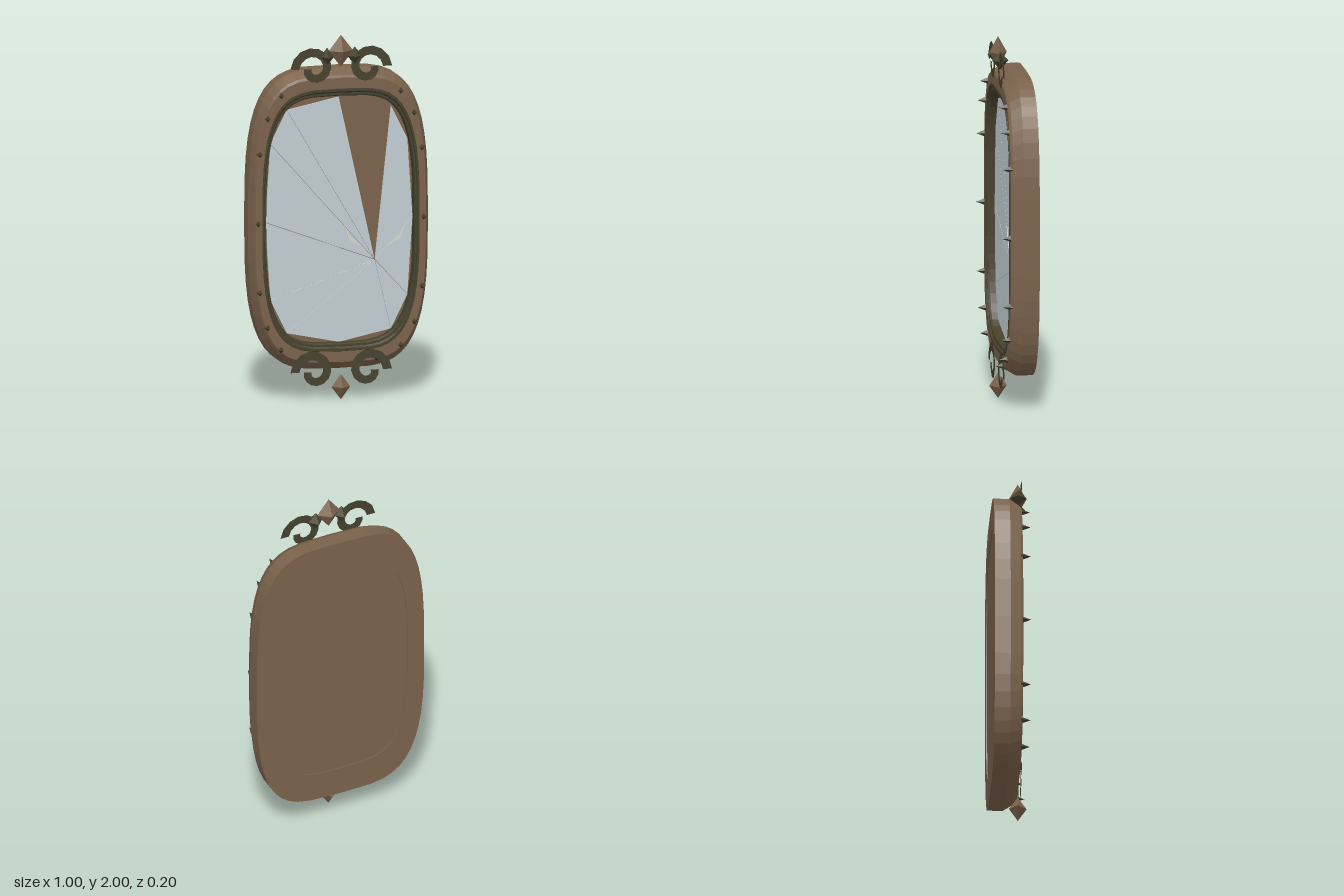
import * as THREE from 'three';

const material = (name, color, side = THREE.FrontSide) => {
  const m = new THREE.MeshStandardMaterial({ color, side, flatShading: true });
  m.name = name;
  return m;
};

const CY = 0.985; // height of the frame's centre

// Point on a rounded-rectangle oval with half sizes a and b
function ovalPoint(t, a, b) {
  const c = Math.cos(t), s = Math.sin(t);
  const pow = (v, p) => (Math.abs(v) < 1e-6 ? 0 : Math.sign(v) * Math.abs(v) ** p);
  return [a * pow(c, 0.5), b * pow(s, 0.65)];
}

// Sweep a [scale, z] profile round the oval
function ovalLoft(profile, n = 48) {
  const pos = [], idx = [];
  profile.forEach(([k, z]) => {
    for (let j = 0; j < n; j++) {
      const [x, y] = ovalPoint((j / n) * Math.PI * 2, 0.5 * k, 0.825 * k);
      pos.push(x, y, z);
    }
  });
  for (let i = 0; i < profile.length - 1; i++) {
    for (let j = 0; j < n; j++) {
      const a = i * n + j, b = i * n + ((j + 1) % n);
      idx.push(a, b, b + n, a, b + n, a + n);
    }
  }
  const g = new THREE.BufferGeometry();
  g.setAttribute('position', new THREE.Float32BufferAttribute(pos, 3));
  g.setIndex(idx);
  const flat = g.toNonIndexed();
  flat.computeVertexNormals();
  return flat;
}

// Flat curled ribbon, winding inwards clockwise from the left
function scrollGeometry() {
  const n = 14, outer = [], inner = [];
  for (let i = 0; i <= n; i++) {
    const t = i / n, ang = Math.PI * (1 - 2 * t);
    const r = 0.108 - 0.073 * t, w = 0.025 - 0.003 * t;
    outer.push(new THREE.Vector2(Math.cos(ang) * (r + w), Math.sin(ang) * (r + w)));
    inner.push(new THREE.Vector2(Math.cos(ang) * (r - w), Math.sin(ang) * (r - w)));
  }
  return new THREE.ShapeGeometry(new THREE.Shape([...outer, ...inner.reverse()]));
}

function plate(points, depth) {
  const shape = new THREE.Shape(points.map(([x, y]) => new THREE.Vector2(x, y)));
  return new THREE.ExtrudeGeometry(shape, { depth, bevelEnabled: false });
}

export function createModel() {
  const root = new THREE.Group();
  root.name = 'brokenMirror';
  const wood = material('brown wood', 0x7a624b);
  const iron = material('dark bronze', 0x45412c);
  const ironSheet = material('dark bronze sheet', 0x45412c, THREE.DoubleSide);
  const glass = material('mirror glass', 0xc2ced3);
  const chip = material('pale glass edge', 0xd4d8cc);

  const add = (name, geo, mat, x = 0, y = 0, z = 0) => {
    const mesh = new THREE.Mesh(geo, mat);
    mesh.name = name;
    mesh.position.set(x, y, z);
    root.add(mesh);
    return mesh;
  };

  // Frame, inner lip and backing board
  add('frame', ovalLoft([
    [0.8, -0.09], [0.8, -0.1], [1, -0.1], [1, -0.015],
    [0.96, 0.04], [0.945, 0.053], [0.87, 0.053], [0.87, 0],
  ]), wood, 0, CY);
  add('innerLip', ovalLoft([
    [0.88, 0.045], [0.872, 0.056], [0.855, 0.056], [0.845, 0.045],
    [0.83, 0.045], [0.822, 0.035], [0.822, -0.01],
  ]), iron, 0, CY);
  add('backingBoard', ovalLoft([
    [0, -0.094], [0.84, -0.094], [0.84, -0.005], [0, -0.005],
  ]), wood, 0, CY);

  // Glass shards fanning from the point of impact, with one missing
  const hub = [0.2, 0.75];
  const rim = i => {
    const [x, y] = ovalPoint((i * Math.PI) / 6, 0.41, 0.675);
    return [x, y + CY - 0.005];
  };
  for (let i = 0; i < 12; i++) {
    if (i === 2) continue;
    const tri = [hub, rim(i), rim(i + 1)];
    const c = [0, 1].map(k => (tri[0][k] + tri[1][k] + tri[2][k]) / 3);
    const shrunk = tri.map(p => p.map((v, k) => c[k] + (v - c[k]) * 0.988));
    add('glassShard', plate(shrunk, 0.008), glass, 0, 0, -0.004);
  }

  // Small loose slivers either side of the impact
  for (const s of [-1, 1]) {
    const sliver = [[0.175, 0.955], [0.145, 0.865], [0.065, 0.82], [0.135, 0.88]];
    add('glassSliver', plate(sliver.map(([x, y]) => [hub[0] + s * x, y]), 0.003), chip, 0, 0, 0.004);
  }

  // Pointed studs round the frame
  const studGeo = new THREE.ConeGeometry(1, 0.055, 4);
  studGeo.rotateX(Math.PI / 2);
  studGeo.scale(0.018, 0.022, 1);
  const stud = (x, y) => add('stud', studGeo, iron, x, y, 0.0695);
  for (const s of [-1, 1]) {
    stud(s * 0.46, 0.983);
    for (const v of [-1, 1]) {
      for (const [x, y] of [[0.45, 0.38], [0.407, 0.573], [0.332, 0.697]]) stud(s * x, 0.983 + v * y);
    }
  }
  stud(0.198, 0.222);

  // Curled scrolls at the crest and foot
  const scroll = scrollGeometry();
  for (const y of [1.82, 0.157]) {
    for (const s of [1, -1]) {
      add('scroll', scroll, ironSheet, -0.15 * s, y, 0.058).scale.x = s;
    }
  }

  // Faceted finials
  const gem = new THREE.OctahedronGeometry(1);
  const finial = (name, mat, x, y, w, h, d) =>
    add(name, gem, mat, x, y, 0.05).scale.set(w, h, d);
  finial('crestFinial', wood, 0, 1.9125, 0.068, 0.0875, 0.048);
  finial('footFinial', wood, 0, 0.07, 0.052, 0.07, 0.048);
  for (const s of [-1, 1]) finial('sideFinial', iron, s * 0.077, 1.882, 0.04, 0.05, 0.045);

  return root;
}
